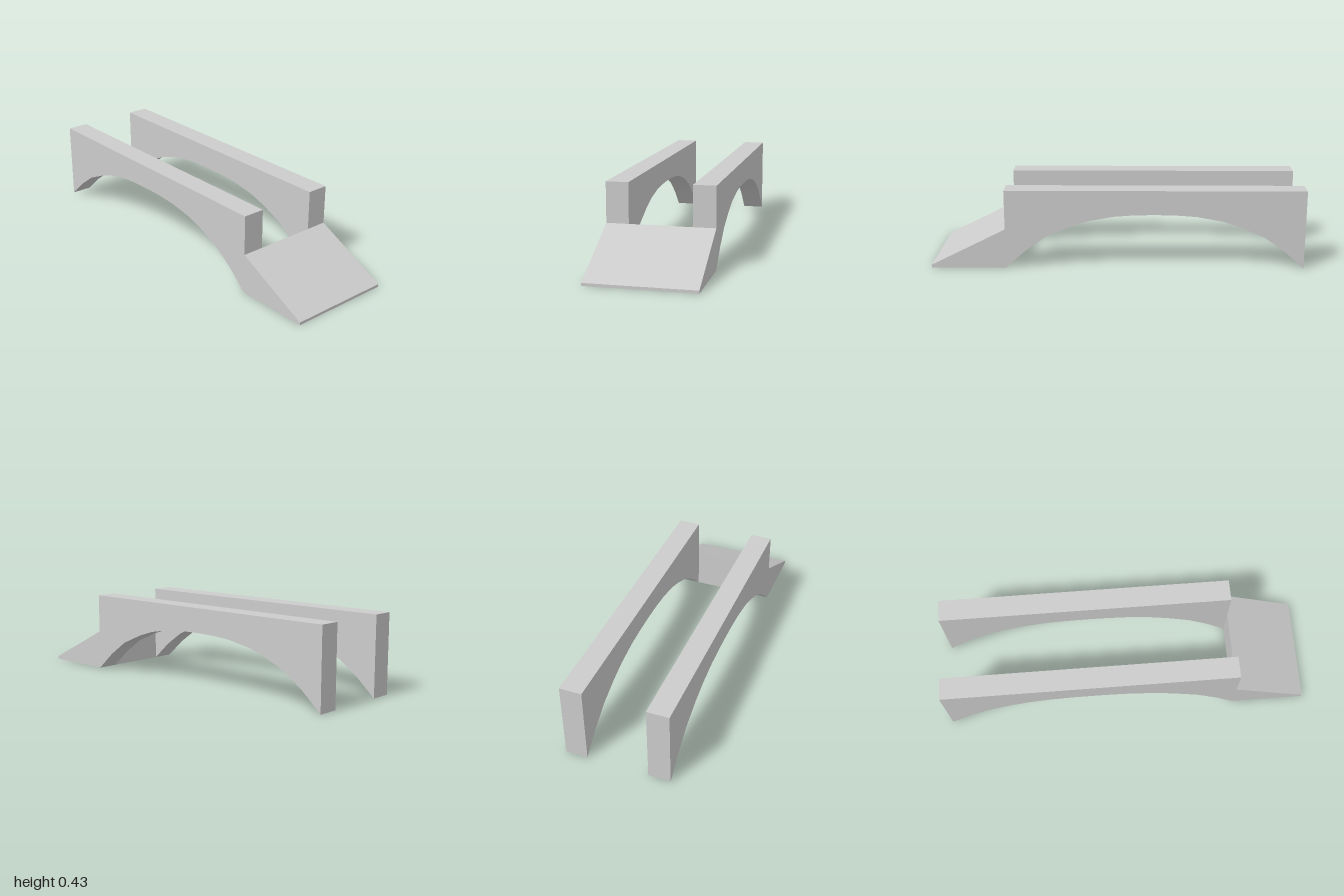
import * as THREE from 'three';
import { toCreasedNormals } from 'three/addons/utils/BufferGeometryUtils.js';

const material = new THREE.MeshStandardMaterial({ color: 0xcccccc });
const HALF_DEPTH = 0.283;
const INNER = 0.165;
const ARCH_MID = -0.2;

// Extrudes a side outline along z, from z0 to z1
function extrudeSide(name, points, z0, z1) {
  const shape = new THREE.Shape(points.map(([x, y]) => new THREE.Vector2(x, y)));
  const geometry = new THREE.ExtrudeGeometry(shape, { depth: z1 - z0, bevelEnabled: false });
  geometry.translate(0, 0, z0);
  const mesh = new THREE.Mesh(toCreasedNormals(geometry, 0.4), material);
  mesh.name = name;
  return mesh;
}

export function createModel() {
  const model = new THREE.Group();
  model.name = 'archedRamp';

  // Arched underside: left half, mirrored about the crown
  const half = [[-1, 0], [-0.893, 0.096], [-0.783, 0.174], [-0.655, 0.23],
    [-0.553, 0.263], [-0.42, 0.287], [-0.31, 0.295]];
  const mirrored = half.map(([x, y]) => [2 * ARCH_MID - x, y]).reverse();
  const beam = [...half, [ARCH_MID, 0.297], ...mirrored, [0.6, 0.428], [-1, 0.428]];

  // Two parallel arched beams
  model.add(extrudeSide('frontBeam', beam, INNER, HALF_DEPTH));
  model.add(extrudeSide('backBeam', beam, -HALF_DEPTH, -INNER));

  // Sloping ramp joining the beams at one end
  const ramp = [[0.6, 0], [1, 0], [1, 0.015], [0.6, 0.215]];
  model.add(extrudeSide('ramp', ramp, -HALF_DEPTH, HALF_DEPTH));

  return model;
}
